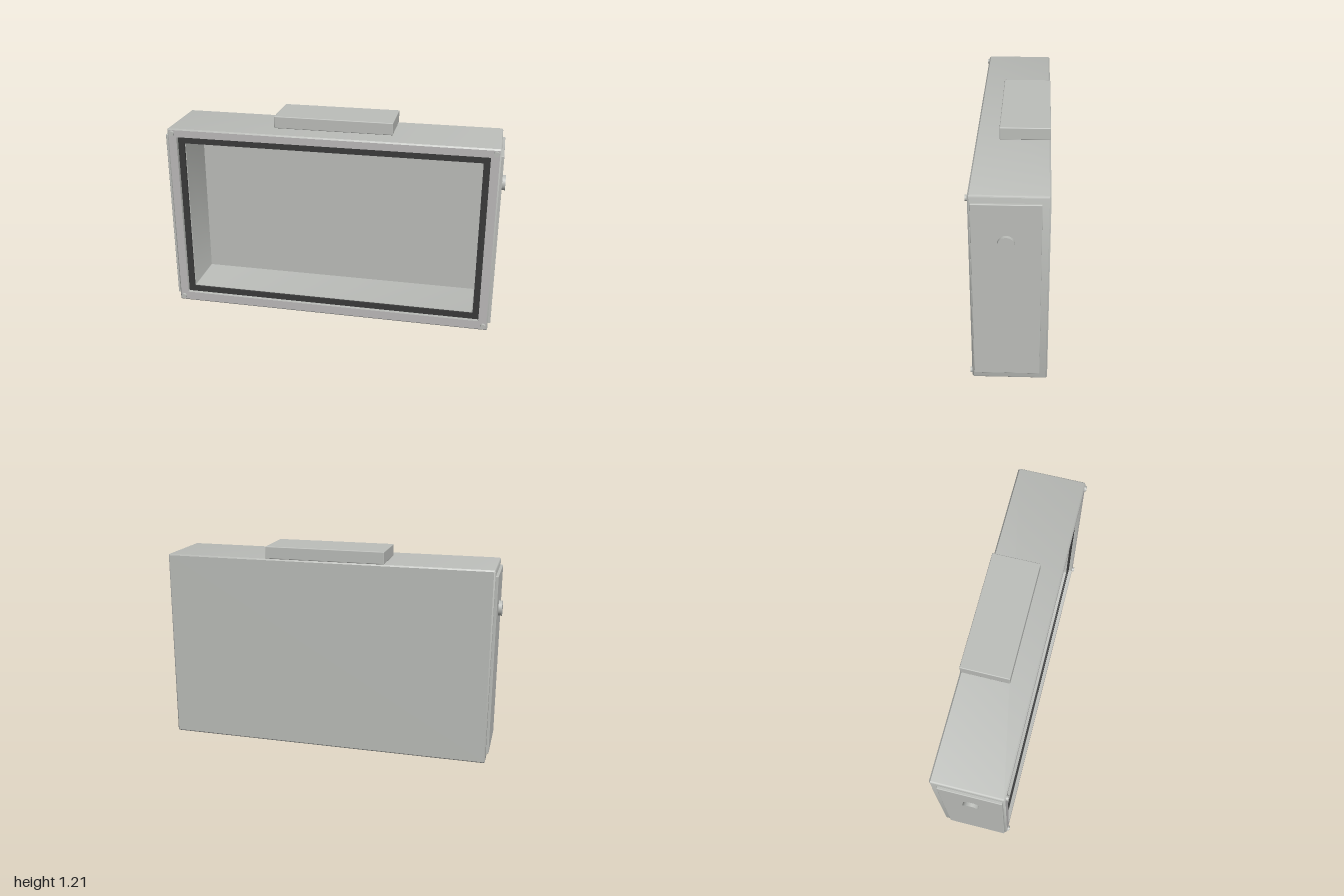
import * as THREE from 'three';
import { toCreasedNormals } from 'three/addons/utils/BufferGeometryUtils.js';
import { RoundedBoxGeometry } from 'three/addons/geometries/RoundedBoxGeometry.js';

const MID = 0.5675; // mid height of the case

// Rounded rectangle outline, counterclockwise seen from the front
function outline(hw, hh, r, z, cy) {
  const pts = [];
  [[1, -1], [1, 1], [-1, 1], [-1, -1]].forEach(([sx, sy], q) => {
    for (let k = 0; k <= 3; k++) {
      const a = (q - 1 + k / 3) * Math.PI / 2;
      pts.push([sx * (hw - r) + r * Math.cos(a), cy + sy * (hh - r) + r * Math.sin(a), z]);
    }
  });
  return pts;
}

// Skin a sequence of outlines: [half width, half height, corner radius, z, centre y]
function loft(rows) {
  const rings = rows.map(([hw, hh, r, z, cy = MID]) => outline(hw, hh, r, z, cy));
  const pos = [];
  for (let j = 0; j < rings.length - 1; j++) {
    const n = rings[j].length;
    for (let i = 0; i < n; i++) {
      const a = rings[j][i], b = rings[j][(i + 1) % n];
      const c = rings[j + 1][(i + 1) % n], d = rings[j + 1][i];
      pos.push(...a, ...b, ...c, ...a, ...c, ...d);
    }
  }
  const g = new THREE.BufferGeometry();
  g.setAttribute('position', new THREE.Float32BufferAttribute(pos, 3));
  return toCreasedNormals(g, 0.6);
}

export function createModel() {
  const group = new THREE.Group();
  const mat = (name, color) => {
    const m = new THREE.MeshStandardMaterial({ color });
    m.name = name;
    return m;
  };
  const grey = mat('case grey', 0xbcbeba);
  const frameGrey = mat('frame grey', 0xbcbaba);
  const rubber = mat('dark rubber', 0x3a3a3a);

  const add = (name, geometry, material, x = 0, y = 0, z = 0) => {
    const mesh = new THREE.Mesh(geometry, material);
    mesh.name = name;
    mesh.position.set(x, y, z);
    group.add(mesh);
    return mesh;
  };

  // Outer shell: back, then the four sides up to the front bevel
  add('outerShell', loft([
    [0, 0, 0, -0.208],
    [0.957, 0.5595, 0.004, -0.208],
    [0.965, 0.5675, 0.01, -0.2],
    [0.965, 0.5675, 0.01, 0.19],
    [0.957, 0.5595, 0.004, 0.198],
  ]), grey);

  // Front rim
  add('frontFrame', loft([
    [0.957, 0.5595, 0.004, 0.198],
    [0.91, 0.513, 0.004, 0.198, 0.572],
  ]), frameGrey);

  // Stepped seat for the seal, then the deep cavity
  add('cavity', loft([
    [0.91, 0.513, 0.004, 0.198, 0.572],
    [0.91, 0.513, 0.004, 0.165, 0.572],
    [0.868, 0.471, 0.004, 0.165, 0.569],
    [0.868, 0.471, 0.004, -0.13, 0.569],
    [0, 0, 0, -0.13, 0.569],
  ]), grey);

  // Dark seal around the opening
  add('seal', loft([
    [0.909, 0.512, 0.004, 0.165, 0.572],
    [0.909, 0.512, 0.004, 0.177, 0.572],
    [0.872, 0.474, 0.004, 0.177, 0.569],
    [0.872, 0.474, 0.004, 0.165, 0.569],
  ]), rubber);

  // Block on top, flush with the back
  add('topBlock', new RoundedBoxGeometry(0.7, 0.072, 0.278, 2, 0.005), grey, 0, 1.172, -0.069);

  for (const s of [-1, 1]) {
    // Side plate and its round button
    add('sidePlate', new RoundedBoxGeometry(0.03, 1.05, 0.352, 2, 0.004), grey, s * 0.965, 0.57, 0.01);
    const button = add('sideButton', new THREE.CylinderGeometry(0.044, 0.044, 0.03, 32), grey, s * 0.985, 0.877, 0.01);
    button.rotation.z = -s * Math.PI / 2;

    // Corner screws
    for (const y of [0.03, 1.108]) {
      const screw = add('cornerScrew', new THREE.CylinderGeometry(0.015, 0.017, 0.02, 20), grey, s * 0.938, y, 0.2);
      screw.rotation.x = Math.PI / 2;
    }
  }
  return group;
}
